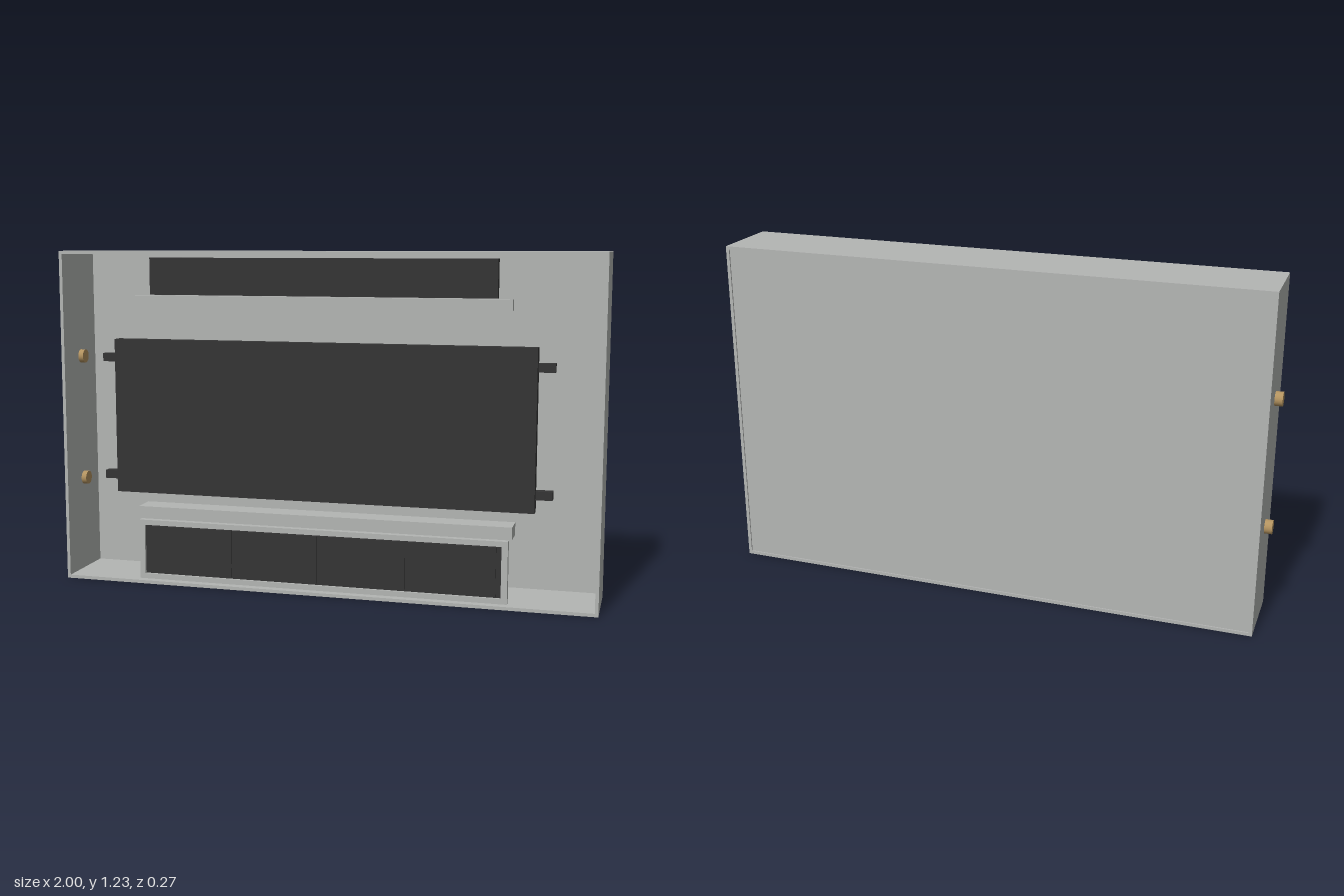
import * as THREE from 'three';

const grey = new THREE.MeshStandardMaterial({ color: 0xb4b6b4, name: 'greyMetal' });
const dark = new THREE.MeshStandardMaterial({ color: 0x343434, name: 'darkPlastic' });
const brass = new THREE.MeshStandardMaterial({ color: 0xb2925f, name: 'brass' });

export function createModel() {
  const group = new THREE.Group();

  const add = (name, geometry, material) => {
    const mesh = new THREE.Mesh(geometry, material);
    mesh.name = name;
    group.add(mesh);
    return mesh;
  };

  // Box given by its limits on each axis
  const box = (name, material, [x0, x1], [y0, y1], [z0, z1]) => {
    const mesh = add(name, new THREE.BoxGeometry(x1 - x0, y1 - y0, z1 - z0), material);
    mesh.position.set((x0 + x1) / 2, (y0 + y1) / 2, (z0 + z1) / 2);
    return mesh;
  };

  // Rectangular ring extruded between z0 and z1
  const rect = (P, [x0, x1], [y0, y1]) =>
    new P().moveTo(x0, y0).lineTo(x1, y0).lineTo(x1, y1).lineTo(x0, y1).closePath();
  const ring = (name, material, outer, inner, [z0, z1]) => {
    const shape = rect(THREE.Shape, ...outer);
    shape.holes.push(rect(THREE.Path, ...inner));
    const geometry = new THREE.ExtrudeGeometry(shape, { depth: z1 - z0, bevelEnabled: false });
    geometry.translate(0, 0, z0);
    return add(name, geometry, material);
  };

  // Open case with a slightly recessed back
  ring('caseWalls', grey, [[-0.973, 1], [0, 1.23]], [[-0.961, 0.988], [0.012, 1.218]], [-0.135, 0.135]);
  box('backPanel', grey, [-0.962, 0.989], [0.011, 1.219], [-0.13, -0.125]);

  // Screen and its side brackets
  box('screen', dark, [-0.757, 0.777], [0.346, 0.911], [0.093, 0.138]);
  for (const y of [0.405, 0.842]) {
    box('screenBracket', dark, [-0.813, -0.74], [y - 0.015, y + 0.015], [0.085, 0.118]);
    box('screenBracket', dark, [0.76, 0.835], [y - 0.015, y + 0.015], [0.085, 0.118]);
  }

  // Upper panel standing over its rail
  box('upperPanel', dark, [-0.622, 0.637], [1.073, 1.206], [0.09, 0.12]);
  box('upperRail', grey, [-0.674, 0.69], [1.033, 1.071], [0.109, 0.137]);

  // Lower ledge, frame and four-part grille
  box('lowerLedge', grey, [-0.686, 0.7], [0.243, 0.288], [0.02, 0.11]);
  ring('grilleFrame', grey, [[-0.674, 0.69], [0.021, 0.243]], [[-0.653, 0.668], [0.04, 0.224]], [0.112, 0.137]);
  box('grilleBacking', dark, [-0.653, 0.668], [0.04, 0.224], [0.113, 0.127]);
  const pitch = 0.322;
  for (let i = 0; i < 4; i++) {
    const x = -0.636 + i * pitch;
    box('grillePanel', dark, [x, x + pitch - 0.003], [0.045, 0.219], [0.125, 0.132]);
  }

  // Brass pegs through the side wall
  for (const y of [0.364, 0.833]) {
    const peg = add('sidePeg', new THREE.CylinderGeometry(0.025, 0.025, 0.058, 24), brass);
    peg.rotation.z = Math.PI / 2;
    peg.position.set(-0.971, y, -0.003);
  }

  return group;
}
